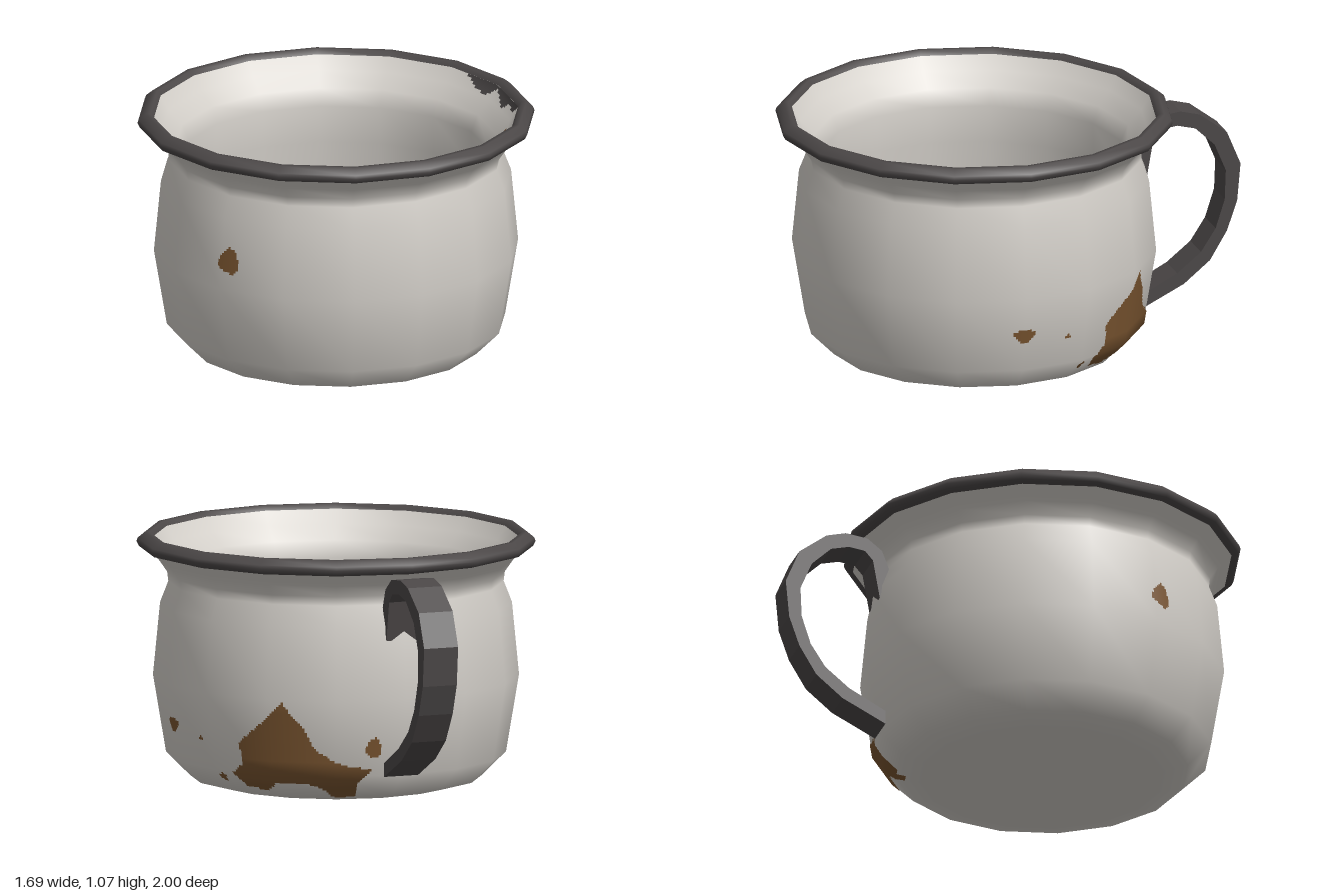
import * as THREE from 'three';

const enamel = new THREE.MeshStandardMaterial({ color: 0xd3cfc9 });
enamel.name = 'cream enamel';
const iron = new THREE.MeshStandardMaterial({ color: 0x4b4747 });
iron.name = 'dark iron';
const rust = new THREE.MeshStandardMaterial({ color: 0x7a5530 });
rust.name = 'rust brown';

const SIDES = 16;
const STEP = 22.5;

// Profiles as [radius, height]
const outer = [[0, 0], [0.5, 0], [0.62, 0.03], [0.72, 0.13], [0.775, 0.46], [0.745, 0.77],
  [0.71, 0.86], [0.715, 0.9], [0.75, 0.95], [0.815, 1.01]];
const rimProfile = [[0.8, 1.0], [0.835, 1.01], [0.845, 1.03], [0.84, 1.045], [0.81, 1.07], [0.79, 1.07], [0.775, 1.05]];
const inner = [[0.785, 1.06], [0.74, 0.99], [0.68, 0.93], [0.65, 0.86], [0.655, 0.7], [0.68, 0.4]];
const fillProfile = [[0.67, 0.4], [0.58, 0.54], [0.45, 0.64], [0.25, 0.68], [0, 0.69]];

function lathe(name, profile, material) {
  const geo = new THREE.LatheGeometry(profile.map(([r, y]) => new THREE.Vector2(r, y)), SIDES);
  const mesh = new THREE.Mesh(geo, material);
  mesh.name = name;
  return mesh;
}

// Radius of a profile at a height
function radiusAt(profile, y) {
  const pts = [...profile].sort((a, b) => a[1] - b[1] || a[0] - b[0]);
  for (let i = 1; i < pts.length; i++) {
    const [r0, y0] = pts[i - 1], [r1, y1] = pts[i];
    if (y <= y1 && y1 > y0) return r0 + (r1 - r0) * Math.max(0, (y - y0) / (y1 - y0));
  }
  return pts[pts.length - 1][0];
}

function insidePolygon(poly, x, y) {
  let hit = false;
  for (let i = 0, j = poly.length - 1; i < poly.length; j = i++) {
    const [xi, yi] = poly[i], [xj, yj] = poly[j];
    if ((yi > y) !== (yj > y) && x < ((xj - xi) * (y - yi)) / (yj - yi) + xi) hit = !hit;
  }
  return hit;
}

// Thin patch lying on the faceted wall; outline in [degrees, height]
function patch(name, outline, profile, side, material) {
  const DA = 0.75, DY = 0.01;
  const rad = Math.PI / 180;
  const pos = [], nor = [], idx = [];
  const addVertex = (a, y) => {
    const local = ((a % STEP) + STEP) % STEP - STEP / 2;
    const facet = Math.cos(STEP / 2 * rad) / Math.cos(local * rad);
    const r = radiusAt(profile, y) * facet + side * 0.004;
    const slope = (radiusAt(profile, y + 0.06) - radiusAt(profile, Math.max(0.005, y - 0.06))) / 0.12;
    const n = new THREE.Vector3(Math.cos(a * rad), -slope, -Math.sin(a * rad)).normalize().multiplyScalar(side);
    pos.push(r * Math.cos(a * rad), y, -r * Math.sin(a * rad));
    nor.push(n.x, n.y, n.z);
  };
  const as = outline.map(p => p[0]), ys = outline.map(p => p[1]);
  const i0 = Math.floor(Math.min(...as) / DA), i1 = Math.ceil(Math.max(...as) / DA);
  const j0 = Math.floor(Math.min(...ys) / DY), j1 = Math.ceil(Math.max(...ys) / DY);
  for (let i = i0; i < i1; i++) {
    for (let j = j0; j < j1; j++) {
      if (!insidePolygon(outline, (i + 0.5) * DA, (j + 0.5) * DY)) continue;
      const k = pos.length / 3;
      addVertex(i * DA, j * DY);
      addVertex((i + 1) * DA, j * DY);
      addVertex((i + 1) * DA, (j + 1) * DY);
      addVertex(i * DA, (j + 1) * DY);
      if (side > 0) idx.push(k, k + 1, k + 2, k, k + 2, k + 3);
      else idx.push(k, k + 2, k + 1, k, k + 3, k + 2);
    }
  }
  const geo = new THREE.BufferGeometry();
  geo.setAttribute('position', new THREE.Float32BufferAttribute(pos, 3));
  geo.setAttribute('normal', new THREE.Float32BufferAttribute(nor, 3));
  geo.setIndex(idx);
  const mesh = new THREE.Mesh(geo, material);
  mesh.name = name;
  return mesh;
}

// Slightly irregular oval outline
function spot(a, y, ra, ry) {
  return Array.from({ length: 12 }, (_, i) => {
    const t = i / 12 * Math.PI * 2;
    const wobble = 1 + 0.15 * Math.sin(3 * t + a);
    return [a + ra * wobble * Math.cos(t), y + ry * wobble * Math.sin(t)];
  });
}

// Flat strap handle, its side outline given as [z, y]
function handle() {
  const outside = [[-0.585, 0.71], [-0.545, 0.85], [-0.575, 0.93], [-0.64, 0.98], [-0.735, 0.992], [-0.82, 0.97],
    [-0.94, 0.88], [-1.0, 0.735], [-0.985, 0.57], [-0.94, 0.44], [-0.865, 0.315], [-0.75, 0.22], [-0.56, 0.125]];
  const inside = [[-0.56, 0.185], [-0.72, 0.27], [-0.825, 0.355], [-0.89, 0.455], [-0.93, 0.58], [-0.935, 0.71],
    [-0.885, 0.83], [-0.8, 0.91], [-0.72, 0.93], [-0.65, 0.92], [-0.615, 0.88]];
  const shape = new THREE.Shape([...outside, ...inside].map(([z, y]) => new THREE.Vector2(-z, y)));
  const geo = new THREE.ExtrudeGeometry(shape, { depth: 0.156, bevelEnabled: false });
  geo.translate(0, 0, -0.078);
  geo.rotateY(Math.PI / 2);
  const mesh = new THREE.Mesh(geo, iron);
  mesh.name = 'handle';
  return mesh;
}

export function createModel() {
  const model = new THREE.Group();
  model.name = 'enamelPot';

  // Pot body, rim and contents share one axis set forward of the handle
  const pot = new THREE.Group();
  pot.name = 'pot';
  pot.position.z = 0.155;
  pot.add(
    lathe('outerWall', outer, enamel),
    lathe('rim', rimProfile, iron),
    lathe('innerWall', inner, enamel),
    lathe('contents', fillProfile, rust)
  );

  // Large worn area low on the left side
  const stain = [[50, 0.45], [45, 0.38], [40, 0.33], [33, 0.26], [34, 0.17], [29, 0.12], [32, 0.06], [41, 0.05],
    [46, 0.09], [56, 0.09], [62, 0.07], [67, 0.02], [75, 0.03], [75, 0.1], [80, 0.16], [72, 0.17], [66, 0.2],
    [60, 0.25], [57, 0.33], [52, 0.4]];
  pot.add(patch('largeRustStain', stain, outer, 1, rust));

  // Small chips: angle, height, half sizes
  const outerSpots = [[0, 0.29, 3.5, 0.03], [16, 0.255, 1.1, 0.011], [24, 0.1, 1.3, 0.018],
    [80, 0.25, 2.5, 0.045], [205, 0.585, 3.7, 0.055]];
  for (const s of outerSpots) pot.add(patch('outerRustSpot', spot(...s), outer, 1, rust));
  const innerSpots = [[-33, 0.97, 1.6, 0.02], [-32, 0.66, 1.5, 0.018], [-36.5, 0.68, 1, 0.012]];
  for (const s of innerSpots) pot.add(patch('innerRustSpot', spot(...s), inner, -1, rust));

  // Worn enamel along the inner rim
  const wear = [[-24, 1.055], [-21, 1.02], [-16, 1.03], [-12, 1.0], [-7, 1.02], [-2, 1.04], [3, 1.0], [8, 1.01],
    [13, 1.04], [17, 1.055]];
  pot.add(patch('rimWear', wear, inner, -1, iron));

  model.add(pot, handle());
  return model;
}
